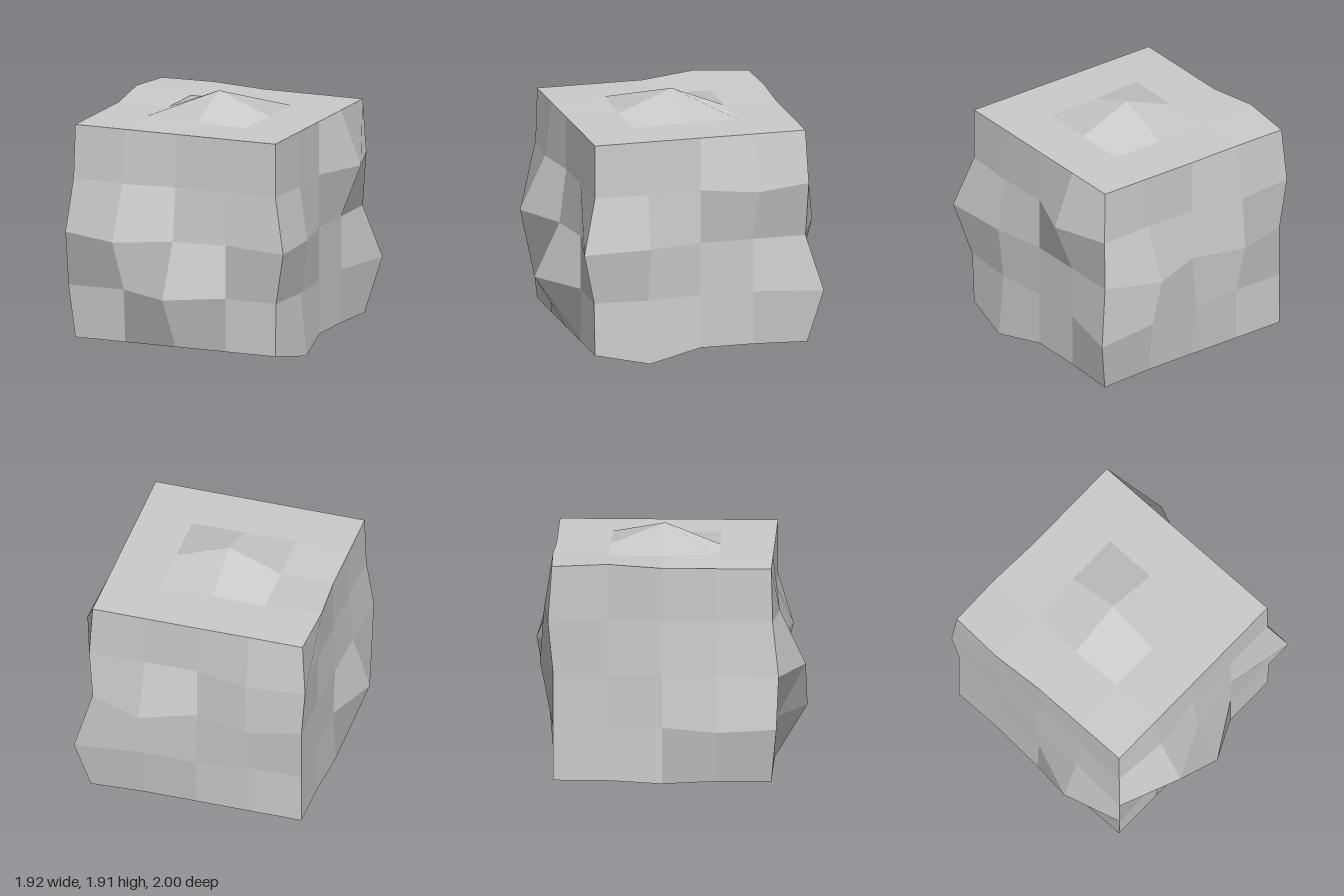
import * as THREE from 'three';

const STEP = 0.4;      // grid cell size; grid indices run from -2 to 2
const HALF = 2;
const CENTRE = [0, 0.96, -0.04];

// Bumps on the surface grid: "x,y,z" index -> how far the point is pushed outwards
const BUMPS = {
  // front
  '-1,1,2': 0.05, '-1,0,2': 0.24, '0,0,2': 0.05, '-1,-1,2': 0.03, '0,-1,2': 0.24,
  // back
  '-1,1,-2': 0.08, '1,0,-2': 0.16, '-1,0,-2': 0.11, '1,-1,-2': 0.05, '0,-1,-2': 0.055,
  // left side (+x)
  '2,1,-1': 0.16, '2,1,1': 0.02, '2,0,1': 0.08, '2,-1,1': 0.03,
  // right side (-x)
  '-2,-1,1': 0.16, '-2,0,1': 0.03, '-2,0,0': 0.015,
  // top and bottom
  '0,2,0': 0.16, '-1,2,1': 0.015, '0,-2,0': 0.155, '-1,-2,-1': 0.045,
  // upright edges
  '2,0,2': 0.11, '2,-1,2': 0.01, '-2,1,2': 0.01, '-2,0,2': 0.055, '-2,-1,2': 0.038,
  '2,1,-2': 0.02, '2,-1,-2': 0.11, '-2,1,-2': 0.038,
  // level edges and corners
  '-2,2,-1': 0.035, '-1,2,-2': 0.015, '2,-2,1': 0.073, '-2,-2,0': 0.018,
  '-2,2,-2': 0.01, '2,-2,-2': 0.01,
};

// Grid point pushed out along every side it lies on
function gridPoint(index) {
  const d = BUMPS[index.join(',')] || 0;
  return new THREE.Vector3(...index.map((n, k) =>
    CENTRE[k] + n * STEP + (Math.abs(n) === HALF ? Math.sign(n) * d : 0)));
}

// One side of the block as a grid of flat-shaded quads
function sideGeometry(axis, sign) {
  const u = (axis + 1) % 3, v = (axis + 2) % 3;
  const positions = [], normals = [];
  // corner order sets the winding and which way each quad is split
  const order = sign > 0 ? [[1, 0], [1, 1], [0, 1], [0, 0]] : [[0, 0], [0, 1], [1, 1], [1, 0]];
  for (let i = -HALF; i < HALF; i++) {
    for (let j = -HALF; j < HALF; j++) {
      const c = order.map(([a, b]) => {
        const index = [0, 0, 0];
        index[axis] = sign * HALF;
        index[u] = i + a;
        index[v] = j + b;
        return gridPoint(index);
      });
      const normal = c[2].clone().sub(c[0]).cross(c[3].clone().sub(c[1])).normalize();
      for (const k of [0, 1, 2, 0, 2, 3]) {
        positions.push(...c[k].toArray());
        normals.push(...normal.toArray());
      }
    }
  }
  const geometry = new THREE.BufferGeometry();
  geometry.setAttribute('position', new THREE.Float32BufferAttribute(positions, 3));
  geometry.setAttribute('normal', new THREE.Float32BufferAttribute(normals, 3));
  return geometry;
}

export function createModel() {
  const group = new THREE.Group();
  group.name = 'roughBlock';
  const material = new THREE.MeshStandardMaterial({ color: 0xcccccc });
  const sides = [
    ['leftSide', 0, 1], ['rightSide', 0, -1],
    ['topSide', 1, 1], ['bottomSide', 1, -1],
    ['frontSide', 2, 1], ['backSide', 2, -1],
  ];
  for (const [name, axis, sign] of sides) {
    const mesh = new THREE.Mesh(sideGeometry(axis, sign), material);
    mesh.name = name;
    group.add(mesh);
  }
  return group;
}
